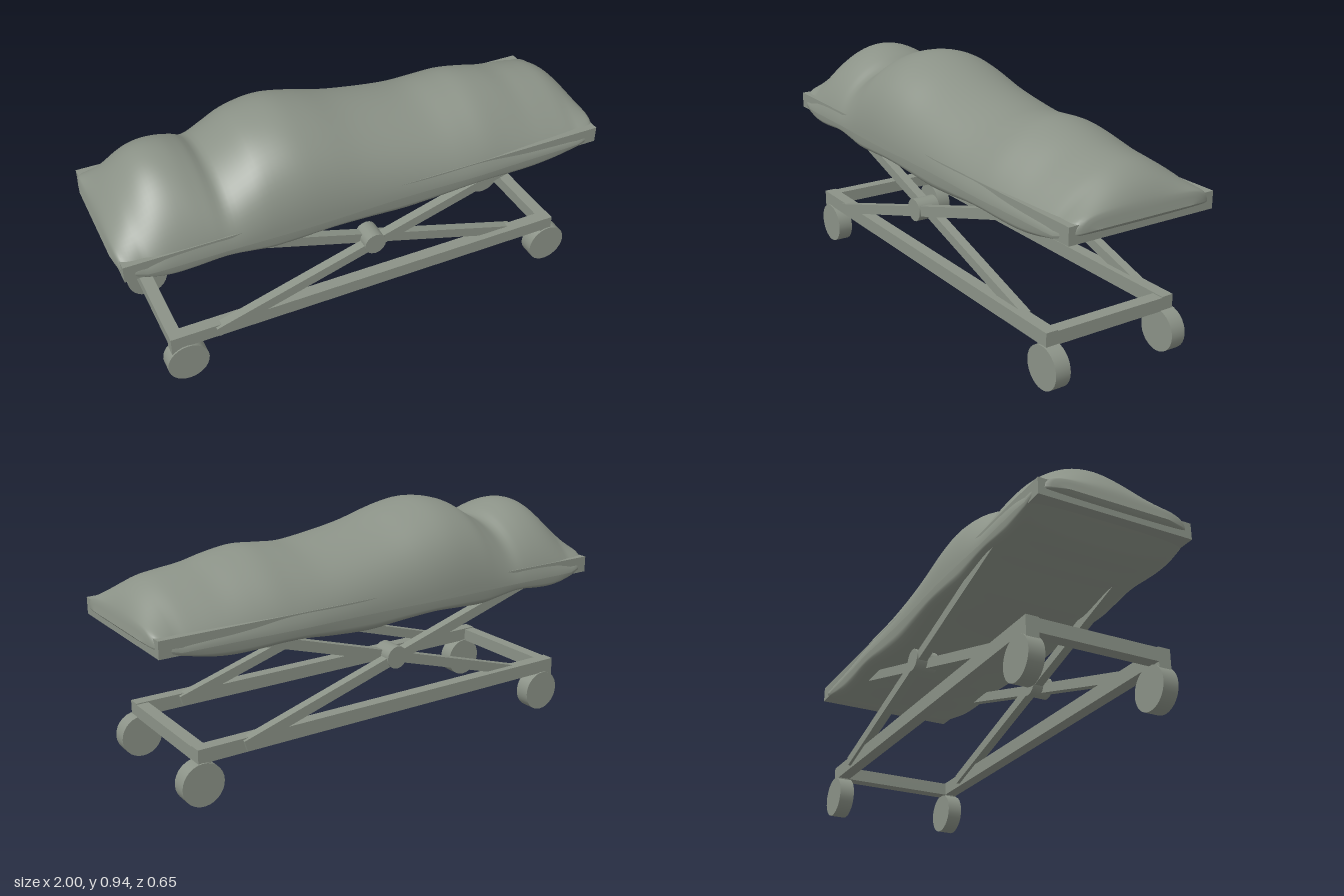
import * as THREE from 'three';

const paint = new THREE.MeshStandardMaterial({ color: 0x8b9287 });
paint.name = 'greyGreen';

// Draped sheet stations: x, top, bottom, half width, roundness (0.5 dome, 1.5 bell)
const stations = [
  [-1.0, 0.63, 0.63, 0.2, 1.4], [-0.985, 0.69, 0.615, 0.28, 1.4], [-0.95, 0.745, 0.595, 0.308, 1.3],
  [-0.9, 0.805, 0.57, 0.316, 1.15], [-0.84, 0.86, 0.545, 0.32, 1.0], [-0.78, 0.884, 0.535, 0.32, 0.9],
  [-0.71, 0.883, 0.54, 0.32, 0.85], [-0.64, 0.86, 0.55, 0.32, 0.8], [-0.58, 0.832, 0.548, 0.32, 0.75],
  [-0.5, 0.872, 0.53, 0.322, 0.62], [-0.42, 0.917, 0.515, 0.324, 0.54], [-0.3, 0.94, 0.522, 0.326, 0.5],
  [-0.18, 0.922, 0.528, 0.325, 0.52], [-0.03, 0.88, 0.515, 0.321, 0.58], [0.12, 0.852, 0.5, 0.319, 0.65],
  [0.28, 0.833, 0.513, 0.321, 0.75], [0.4, 0.842, 0.53, 0.324, 0.85], [0.5, 0.85, 0.532, 0.323, 0.9],
  [0.6, 0.836, 0.524, 0.32, 1.0], [0.7, 0.812, 0.524, 0.318, 1.1], [0.79, 0.801, 0.54, 0.317, 1.2],
  [0.88, 0.785, 0.57, 0.315, 1.3], [0.945, 0.745, 0.593, 0.308, 1.4], [0.985, 0.69, 0.615, 0.28, 1.4],
  [1.0, 0.63, 0.63, 0.2, 1.4],
];

function sheetGeometry() {
  const curve = (a, b) => new THREE.CatmullRomCurve3(
    stations.map(s => new THREE.Vector3(s[0], s[a], s[b])), false, 'catmullrom', 0.5);
  const heights = curve(1, 2), shapes = curve(3, 4);
  const rows = 96, cols = 36, pos = [], index = [];
  // Upper and lower skins keep separate rims so the hem stays sharp
  for (const upper of [true, false]) {
    const start = pos.length / 3;
    for (let i = 0; i <= rows; i++) {
      const h = heights.getPoint(i / rows), s = shapes.getPoint(i / rows);
      const rim = 0.6 + 0.3 * Math.max(0, Math.abs(h.x) - 0.9);
      const rise = Math.max(0, h.y - rim), skirt = Math.min(0.05, rise);
      for (let j = 0; j <= cols; j++) {
        const u = Math.cos(Math.PI * j / cols), c = Math.max(0, 1 - u * u);
        const y = upper
          ? rim + skirt * Math.sqrt(1 - Math.min(1, u ** 8)) + (rise - skirt) * c ** s.z
          : rim - Math.max(0, rim - h.z) * c ** 0.2;
        pos.push(h.x, y, s.y * u);
      }
    }
    for (let i = 0; i < rows; i++) for (let j = 0; j < cols; j++) {
      const a = start + i * (cols + 1) + j, b = a + cols + 1;
      if (upper) index.push(a, b, a + 1, b, b + 1, a + 1);
      else index.push(a, a + 1, b, b, a + 1, b + 1);
    }
  }
  const g = new THREE.BufferGeometry();
  g.setAttribute('position', new THREE.Float32BufferAttribute(pos, 3));
  g.setIndex(index);
  g.computeVertexNormals();
  return g;
}

export function createModel() {
  const model = new THREE.Group();
  model.name = 'coveredStretcher';
  const add = (name, geometry, x, y, z) => {
    const m = new THREE.Mesh(geometry, paint);
    m.name = name;
    m.position.set(x, y, z);
    model.add(m);
    return m;
  };
  const box = (name, w, h, d, x, y, z) => add(name, new THREE.BoxGeometry(w, h, d), x, y, z);
  const disc = (name, r, depth, sides, x, y, z) =>
    add(name, new THREE.CylinderGeometry(r, r, depth, sides).rotateX(Math.PI / 2), x, y, z);

  // Bed
  box('bedBoard', 1.965, 0.065, 0.62, 0, 0.6225, 0);
  add('drapedSheet', sheetGeometry(), 0, 0, 0);

  // Base frame
  for (const side of [1, -1]) {
    box('sideRail', 1.69, 0.055, 0.05, 0, 0.1925, side * 0.26);
    box('crossRail', 0.05, 0.052, 0.47, side * 0.82, 0.19, 0);

    // Casters, all trailing the same way
    for (const end of [1, -1]) {
      box('casterPost', 0.05, 0.12, 0.05, end * 0.82, 0.16, side * 0.26);
      disc('wheel', 0.083, 0.062, 28, end * 0.808 + 0.022, 0.085, side * 0.26);
    }

    // Scissor lift
    const length = Math.hypot(1.32, 0.396);
    for (const lean of [1, -1]) {
      const bar = box('scissorBar', length, 0.04, 0.037, 0, 0.392, side * 0.259 + lean * 0.02);
      bar.rotation.z = lean * Math.atan(0.3);
    }
    disc('scissorPivot', 0.045, 0.09, 16, -0.003, 0.398, side * 0.259);
  }
  return model;
}
